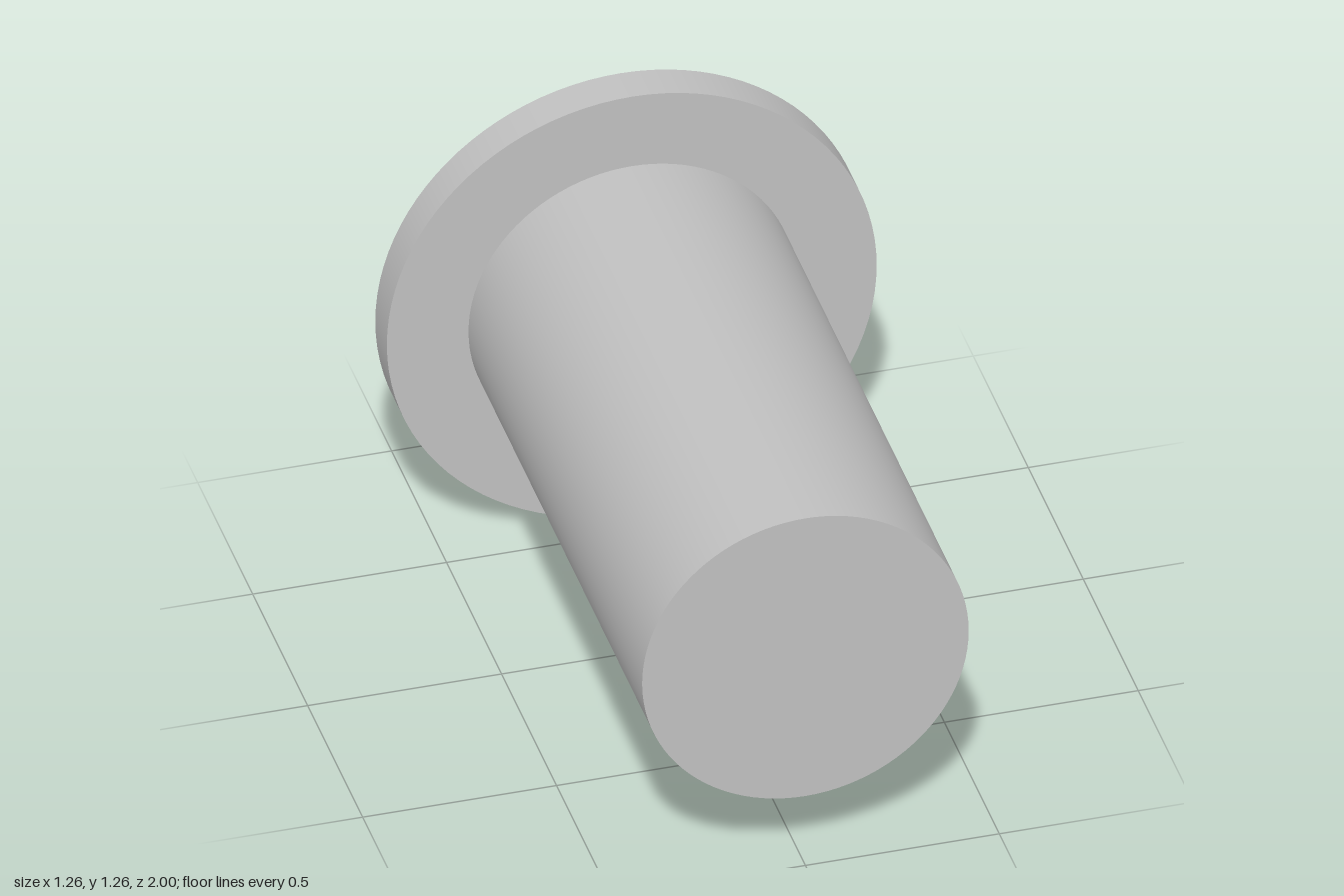
import * as THREE from 'three';

const SEGMENTS = 96;
const UNIT = 1 / 19; // the proportions fall on a 19-unit half length
const AXIS_Y = 12 * UNIT;

const grey = new THREE.MeshStandardMaterial({ color: 0xc0c0c0 });
grey.name = 'plain grey';

// One part turned about z; each end is a flat disc or a ring with the given inner radius
function turnedPart(name, radius, back, front, backHole, frontHole) {
  const part = new THREE.Group();
  part.name = name;

  const wall = new THREE.Mesh(
    new THREE.CylinderGeometry(radius, radius, front - back, SEGMENTS, 1, true).rotateX(Math.PI / 2),
    grey
  );
  wall.name = name + 'Wall';
  wall.position.z = (front + back) / 2;
  part.add(wall);

  const addEnd = (label, z, hole, turn) => {
    if (hole >= radius) return; // joined to its neighbour, so left open
    const geometry = hole > 0
      ? new THREE.RingGeometry(hole, radius, SEGMENTS)
      : new THREE.CircleGeometry(radius, SEGMENTS);
    const end = new THREE.Mesh(geometry.rotateY(turn), grey);
    end.name = name + label;
    end.position.z = z;
    part.add(end);
  };
  addEnd('BackFace', back, backHole, Math.PI);
  addEnd('FrontFace', front, frontHole, 0);
  return part;
}

export function createModel() {
  const model = new THREE.Group();
  model.name = 'flangedPin';

  const shaftRadius = 8 * UNIT;
  const flangeRadius = 12 * UNIT;
  const stubRadius = 7 * UNIT;
  const flangeFront = -11 * UNIT;
  const flangeBack = -13 * UNIT;

  // Long front shaft, wide flange and short rear stub
  model.add(
    turnedPart('shaft', shaftRadius, flangeFront, 1, shaftRadius, 0),
    turnedPart('flange', flangeRadius, flangeBack, flangeFront, stubRadius, shaftRadius),
    turnedPart('stub', stubRadius, -1, flangeBack, 0, stubRadius)
  );
  for (const part of model.children) part.position.y = AXIS_Y;
  return model;
}
